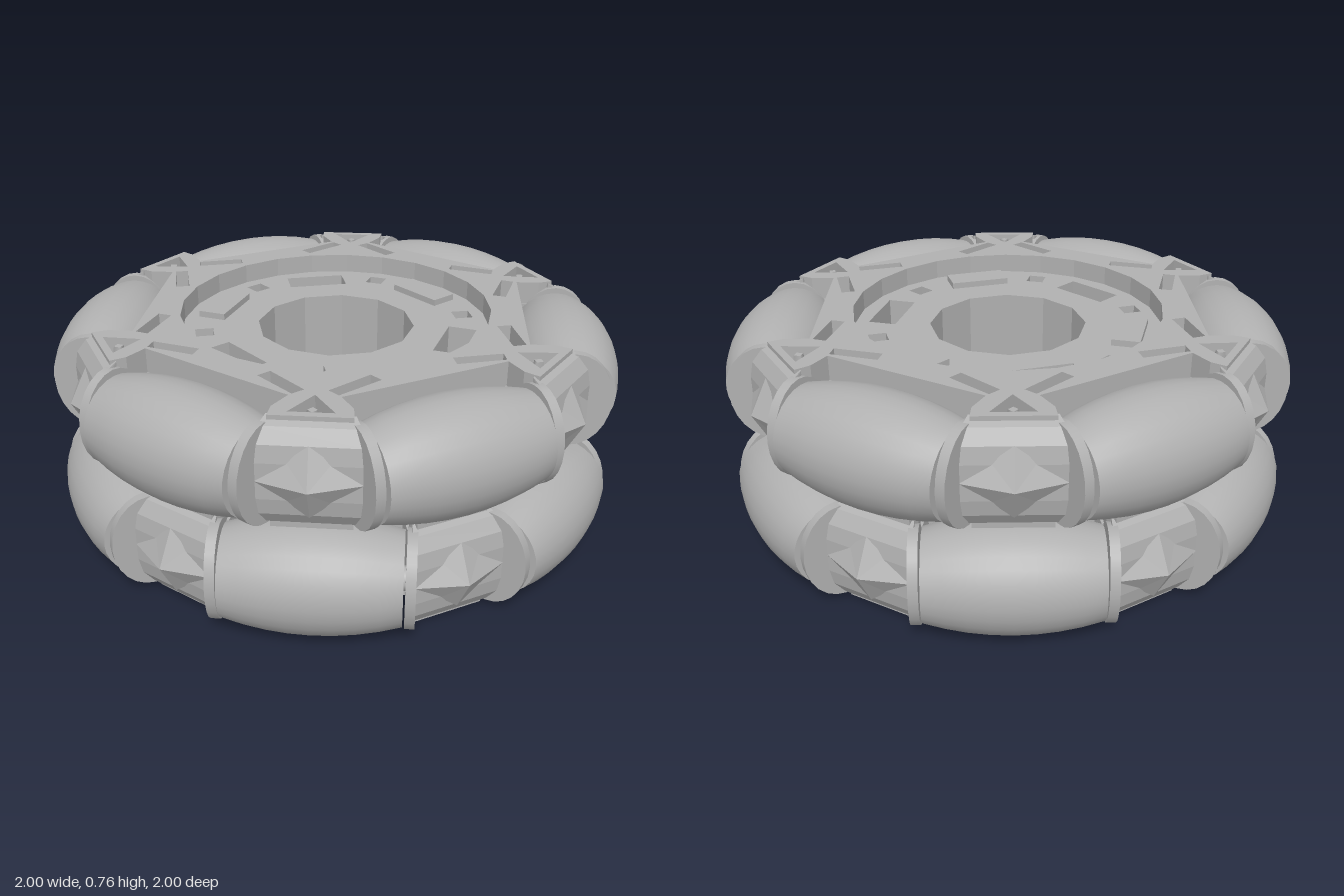
import * as THREE from 'three';
import { toCreasedNormals } from 'three/addons/utils/BufferGeometryUtils.js';
import { ConvexGeometry } from 'three/addons/geometries/ConvexGeometry.js';

const SIXTH = Math.PI / 3;
const grey = new THREE.MeshStandardMaterial({ color: 0xb0b0b0 });
grey.name = 'grey plastic';

function part(name, geometry, parent) {
  const mesh = new THREE.Mesh(geometry, grey);
  mesh.name = name;
  parent.add(mesh);
  return mesh;
}

// Points turned by an angle in the plan
const turn = (pts, a) => pts.map(([x, y]) =>
  new THREE.Vector2(x * Math.cos(a) - y * Math.sin(a), x * Math.sin(a) + y * Math.cos(a)));

const polygon = (r, n) => Array.from({ length: n }, (_, i) =>
  new THREE.Vector2(r * Math.cos(i / n * 2 * Math.PI), r * Math.sin(i / n * 2 * Math.PI)));

// Upright plate from a plan outline with holes, between two heights
function plate(outline, holes, y0, y1) {
  const shape = new THREE.Shape(outline);
  shape.holes = holes.map(h => new THREE.Path(h));
  const g = new THREE.ExtrudeGeometry(shape, { depth: y1 - y0, bevelEnabled: false });
  return g.rotateX(-Math.PI / 2).translate(0, y0, 0);
}

const rect = (r, w, l) => [[r - w, -l], [r + w, -l], [r + w, l], [r - w, l]];

// Barrel roller lying along z
function rollerGeometry() {
  const pts = [new THREE.Vector2(0, -0.28)];
  for (let i = -4; i <= 4; i++) {
    const y = i * 0.07;
    pts.push(new THREE.Vector2(Math.sqrt(1 - y * y) - 0.811, y));
  }
  pts.push(new THREE.Vector2(0, 0.28));
  return toCreasedNormals(new THREE.LatheGeometry(pts, 28), 0.6).rotateX(Math.PI / 2);
}

// Convex block from [x, y, z] corners mirrored in y and z
function mirroredHull(corners) {
  const pts = [];
  for (const [x, y, z] of corners)
    for (const sy of [-1, 1]) for (const sz of [-1, 1]) pts.push(new THREE.Vector3(x, y * sy, z * sz));
  return new ConvexGeometry(pts);
}

// Raised four-pointed star on the bracket face
function starGeometry() {
  const pos = [], rim = [];
  for (let i = 0; i < 8; i++) {
    const a = i * Math.PI / 4, tip = i % 2 === 0;
    rim.push([0.9, Math.sin(a) * (tip ? 0.12 : 0.095), Math.cos(a) * (tip ? 0.172 : 0.095)]);
  }
  for (let i = 0; i < 8; i++) pos.push(0.962, 0, 0, ...rim[(i + 1) % 8], ...rim[i]);
  const g = new THREE.BufferGeometry();
  g.setAttribute('position', new THREE.Float32BufferAttribute(pos, 3));
  g.computeVertexNormals();
  return g;
}

// Face plate: ring with six arms, triangular pockets and slots in a V
function facePlate(y0, y1) {
  const outline = [], holes = [polygon(0.55, 24)];
  const arm = [[0.717, -0.079], [0.79, -0.12], [0.845, -0.125], [0.845, 0.125], [0.79, 0.12], [0.717, 0.079]];
  for (let i = 0; i < 6; i++) {
    const a = i * SIXTH;
    outline.push(...turn(arm, a));
    holes.push(turn([[0.71, 0], [0.82, -0.07], [0.82, 0.07]], a));
    for (const s of [-1, 1])
      holes.push(turn([[0.678, 0.036 * s], [0.708, 0.07 * s], [0.594, 0.19 * s], [0.56, 0.155 * s]], a));
  }
  return plate(outline, holes, y0, y1);
}

// Web disc with a bore, wide slots and small square holes
function webDisc() {
  const holes = [polygon(0.28, 12)];
  for (let i = 0; i < 6; i++) {
    holes.push(turn(rect(0.44, 0.05, 0.11), Math.PI / 12 + i * SIXTH));
    holes.push(turn(rect(0.47, 0.032, 0.032), Math.PI / 4 + i * SIXTH));
  }
  return plate(polygon(0.56, 24), holes, -0.1925, 0.115);
}

function buildRow(name) {
  const row = new THREE.Group();
  row.name = name;
  part('webDisc', webDisc(), row);
  part('hubRing', plate(polygon(0.71, 6), [polygon(0.55, 24)], -0.1, 0.1), row);
  part('outerFacePlate', facePlate(0.095, 0.185), row);
  part('innerFacePlate', facePlate(-0.1925, -0.095), row);

  const roller = rollerGeometry(), star = starGeometry();
  // Outer block slopes in toward both faces; the wedge joins it to the hub
  const block = mirroredHull([[0.825, 0.18, 0.13], [0.865, 0.16, 0.15], [0.895, 0.115, 0.17], [0.905, 0.06, 0.177]]);
  const wedge = mirroredHull([[0.6, 0.1, 0.05], [0.72, 0.1, 0.07], [0.85, 0.1, 0.14]]);
  const cheek = new THREE.CylinderGeometry(0.132, 0.132, 0.032, 24).rotateX(Math.PI / 2).scale(1, 1.27, 1);
  const axle = new THREE.CylinderGeometry(0.04, 0.04, 0.64, 8).rotateX(Math.PI / 2);
  const pin = new THREE.CylinderGeometry(0.016, 0.03, 0.08, 4);
  for (let i = 0; i < 6; i++) {
    // Bracket with its pins
    const bracket = new THREE.Group();
    bracket.name = 'bracket';
    bracket.rotation.y = i * SIXTH;
    row.add(bracket);
    part('bracketBlock', block, bracket);
    part('bracketWedge', wedge, bracket);
    part('bracketStar', star, bracket);
    for (const s of [-1, 1]) {
      const p = part('pin', pin, bracket);
      p.position.set(0.785, 0.135 * s, 0);
      if (s < 0) p.rotation.x = Math.PI;
    }

    // Roller between two cheeks
    const station = new THREE.Group();
    station.name = 'rollerStation';
    station.rotation.y = (i + 0.5) * SIXTH;
    row.add(station);
    part('roller', roller, station).position.x = 0.81;
    part('axle', axle, station).position.x = 0.81;
    for (const s of [-1, 1]) part('bracketCheek', cheek, station).position.set(0.81, 0, 0.302 * s);
  }

  // Locking pegs fill every second wide slot
  for (let i = 0; i < 3; i++) {
    const holder = new THREE.Group();
    holder.name = 'peg';
    holder.rotation.y = 75 * Math.PI / 180 + i * 2 * SIXTH;
    row.add(holder);
    part('lockingPeg', new THREE.BoxGeometry(0.1, 0.33, 0.22), holder).position.set(0.44, -0.0275, 0);
  }
  return row;
}

export function createModel() {
  const model = new THREE.Group();
  model.name = 'omniWheel';
  const upper = buildRow('upperRow');
  upper.position.y = 0.58;
  // Second row is turned over and staggered
  const lower = buildRow('lowerRow');
  lower.rotation.set(Math.PI, Math.PI / 2, 0);
  lower.position.y = 0.195;
  model.add(upper, lower);
  return model;
}
